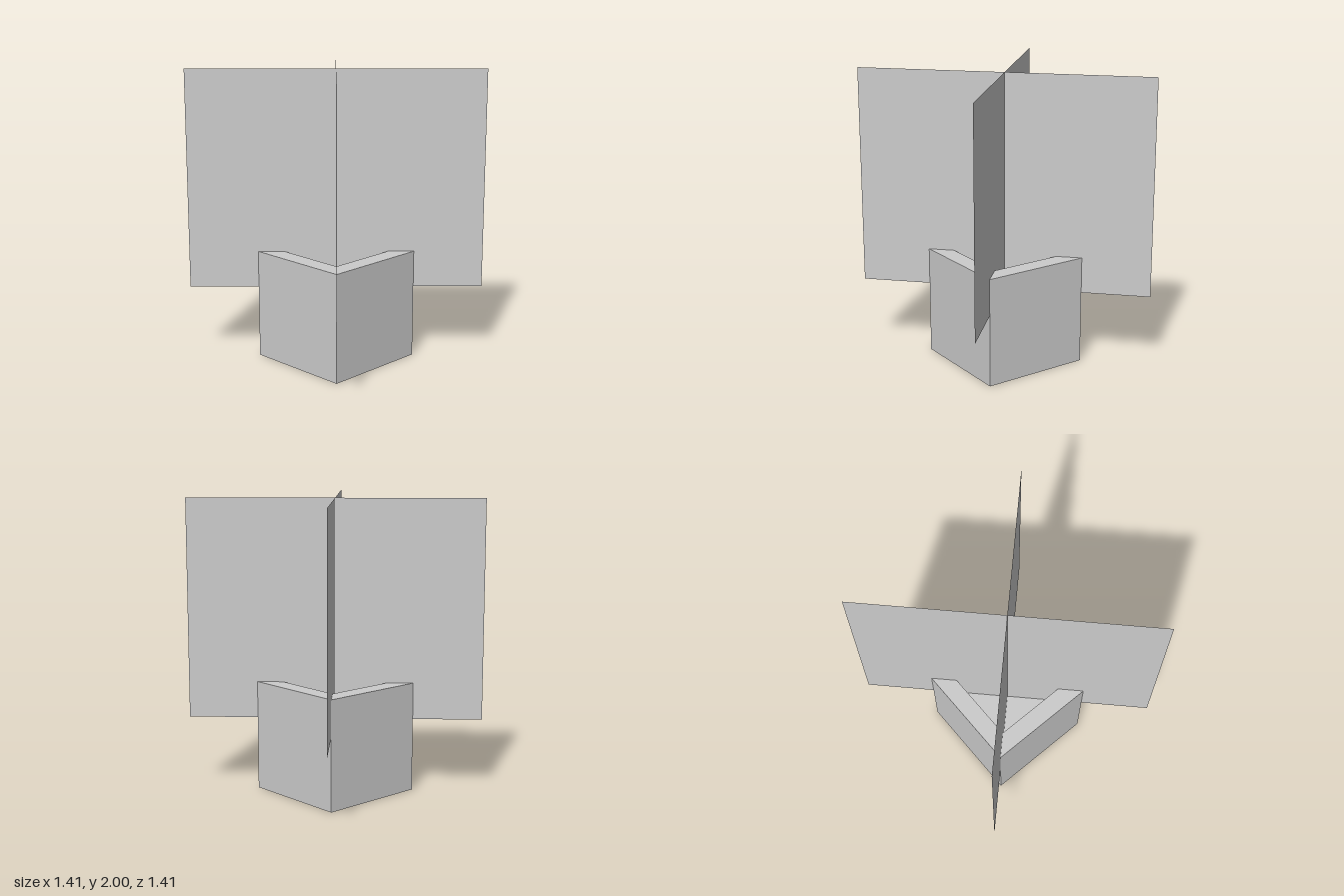
import * as THREE from 'three';

const material = new THREE.MeshStandardMaterial({ color: 0xcccccc, flatShading: true, side: THREE.DoubleSide });

// Box keeping only the listed sides (0:+x 1:-x 2:+y 3:-y 4:+z 5:-z)
function openBox(width, height, depth, sides) {
  const geometry = new THREE.BoxGeometry(width, height, depth);
  const index = Array.from(geometry.index.array);
  geometry.setIndex(sides.flatMap((s) => index.slice(s * 6, s * 6 + 6)));
  geometry.clearGroups();
  return geometry;
}

export function createModel() {
  const model = new THREE.Group();
  model.name = 'pottedPlant';

  function add(parent, name, geometry, x, y, z) {
    const mesh = new THREE.Mesh(geometry, material);
    mesh.name = name;
    mesh.position.set(x, y, z);
    parent.add(mesh);
    return mesh;
  }

  const outer = 0.75, inner = 0.5, height = 0.75;
  const thick = (outer - inner) / 2;
  const offset = (outer + inner) / 4;

  // Pot: hollow walls, open underneath
  const pot = new THREE.Group();
  pot.name = 'pot';
  model.add(pot);
  const longWall = openBox(outer, height, thick, [0, 1, 2, 4, 5]);
  const shortWall = openBox(thick, height, inner, [0, 1, 2]);
  add(pot, 'frontWall', longWall, 0, height / 2, offset);
  add(pot, 'backWall', longWall, 0, height / 2, -offset);
  add(pot, 'leftWall', shortWall, offset, height / 2, 0);
  add(pot, 'rightWall', shortWall, -offset, height / 2, 0);

  // Soil sheet set below the rim
  const soil = new THREE.PlaneGeometry(inner, inner).rotateX(-Math.PI / 2);
  add(pot, 'soil', soil, 0, 0.5, 0);

  // Plant: two thin sheets crossed on the diagonals
  const plant = new THREE.Group();
  plant.name = 'plant';
  model.add(plant);
  const sheet = new THREE.PlaneGeometry(2, 1.5);
  for (const side of [1, -1]) {
    add(plant, 'plantSheet', sheet, 0, 1.25, 0).rotation.y = side * Math.PI / 4;
  }

  return model;
}
